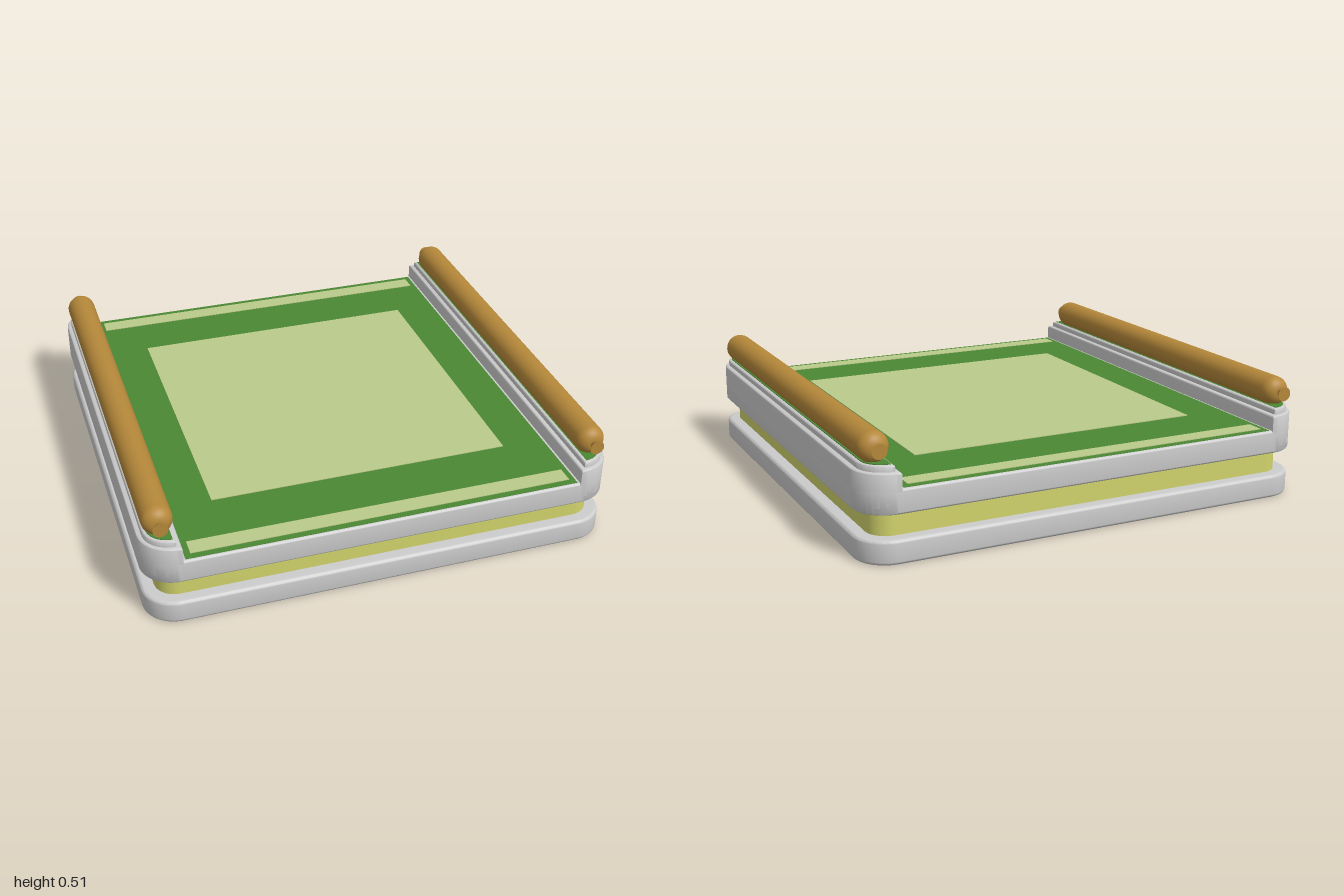
import * as THREE from 'three';
import { toCreasedNormals } from 'three/addons/utils/BufferGeometryUtils.js';

const mat = (color) => new THREE.MeshStandardMaterial({ color });
const stone = mat(0xcccccc), yellow = mat(0xd2d46c), green = mat(0x4c8834);
const paleGreen = mat(0xbaca8a), wood = mat(0xb5883a);

// Outline from x0 to x1, +-z deep, with corner radii for the left and right ends
function outline(x0, x1, z, rLeft, rRight) {
  const s = new THREE.Shape();
  s.moveTo(x0 + rLeft, -z);
  s.lineTo(x1 - rRight, -z);
  if (rRight) s.absarc(x1 - rRight, -z + rRight, rRight, -Math.PI / 2, 0);
  s.lineTo(x1, z - rRight);
  if (rRight) s.absarc(x1 - rRight, z - rRight, rRight, 0, Math.PI / 2);
  s.lineTo(x0 + rLeft, z);
  if (rLeft) s.absarc(x0 + rLeft, z - rLeft, rLeft, Math.PI / 2, Math.PI);
  s.lineTo(x0, -z + rLeft);
  if (rLeft) s.absarc(x0 + rLeft, -z + rLeft, rLeft, Math.PI, Math.PI * 1.5);
  return s;
}

// Upright slab between y0 and y1 whose rounded edges stay inside the outline
function slab(name, material, x0, x1, z, rLeft, rRight, y0, y1, bevel) {
  const shape = outline(x0, x1, z, rLeft, rRight);
  const geo = new THREE.ExtrudeGeometry(shape, {
    depth: y1 - y0 - 2 * bevel, curveSegments: 10,
    bevelEnabled: bevel > 0, bevelThickness: bevel, bevelSize: bevel,
    bevelOffset: -bevel, bevelSegments: 4,
  });
  geo.rotateX(-Math.PI / 2);
  geo.translate(0, y0 + bevel, 0);
  const mesh = new THREE.Mesh(toCreasedNormals(geo, 0.6), material);
  mesh.name = name;
  return mesh;
}

function box(name, material, w, h, d, x, y, z) {
  const mesh = new THREE.Mesh(new THREE.BoxGeometry(w, h, d), material);
  mesh.position.set(x, y, z);
  mesh.name = name;
  return mesh;
}

// Long bolster with rounded ends, lying along z
function bolster() {
  const group = new THREE.Group();
  group.name = 'bolster';
  const r = 0.063, half = 0.94, round = 0.05, pts = [new THREE.Vector2(0, -half)];
  for (const end of [-1, 1]) {
    for (let i = 0; i <= 8; i++) {
      const a = (end < 0 ? i : 8 - i) / 8 * Math.PI / 2;
      pts.push(new THREE.Vector2(r - round + round * Math.sin(a),
        end * (half - round + round * Math.cos(a))));
    }
  }
  pts.push(new THREE.Vector2(0, half));
  const body = new THREE.Mesh(new THREE.LatheGeometry(pts, 32).rotateX(Math.PI / 2), wood);
  body.name = 'bolsterBody';
  group.add(body);
  // Flared knots at both ends
  for (const end of [-1, 1]) {
    const geo = new THREE.CylinderGeometry(0.031, 0.013, 0.032, 24).rotateX(end * Math.PI / 2);
    const knot = new THREE.Mesh(geo, wood);
    knot.position.z = end * 0.952;
    knot.name = 'bolsterKnot';
    group.add(knot);
  }
  return group;
}

export function createModel() {
  const model = new THREE.Group();
  model.name = 'gamePlatform';

  // Stacked base, recessed band and deck
  model.add(slab('baseSlab', stone, -1, 1, 1, 0.14, 0.14, 0, 0.1, 0.014));
  model.add(slab('recessedBand', yellow, -0.945, 0.945, 0.945, 0.09, 0.09, 0.09, 0.21, 0));
  model.add(slab('deckSlab', stone, -1, 1, 1, 0.14, 0.14, 0.2, 0.3, 0.01));

  // Mat with its pale centre and end strips
  model.add(box('mat', green, 1.67, 0.01, 1.975, 0, 0.297, 0));
  model.add(box('matCentre', paleGreen, 1.3, 0.01, 1.3, 0, 0.3, 0));
  for (const end of [-1, 1]) {
    model.add(box('matStrip', paleGreen, 1.62, 0.01, 0.075, 0, 0.3, end * 0.923));
  }

  // Side rails, each carrying a bolster; the second is turned half round
  for (const side of [0, 1]) {
    const rail = new THREE.Group();
    rail.name = side ? 'rightRail' : 'leftRail';
    rail.add(slab('railBody', stone, 0.845, 1, 1, 0, 0.14, 0.22, 0.365, 0.01));
    rail.add(slab('railLedge', stone, 0.865, 0.98, 0.98, 0, 0.11, 0.345, 0.39, 0.008));
    rail.add(slab('railInlay', green, 0.88, 0.965, 0.965, 0, 0.09, 0.38, 0.393, 0));
    const roll = bolster();
    roll.position.set(0.92, 0.445, 0);
    rail.add(roll);
    rail.rotation.y = side * Math.PI;
    model.add(rail);
  }
  return model;
}
